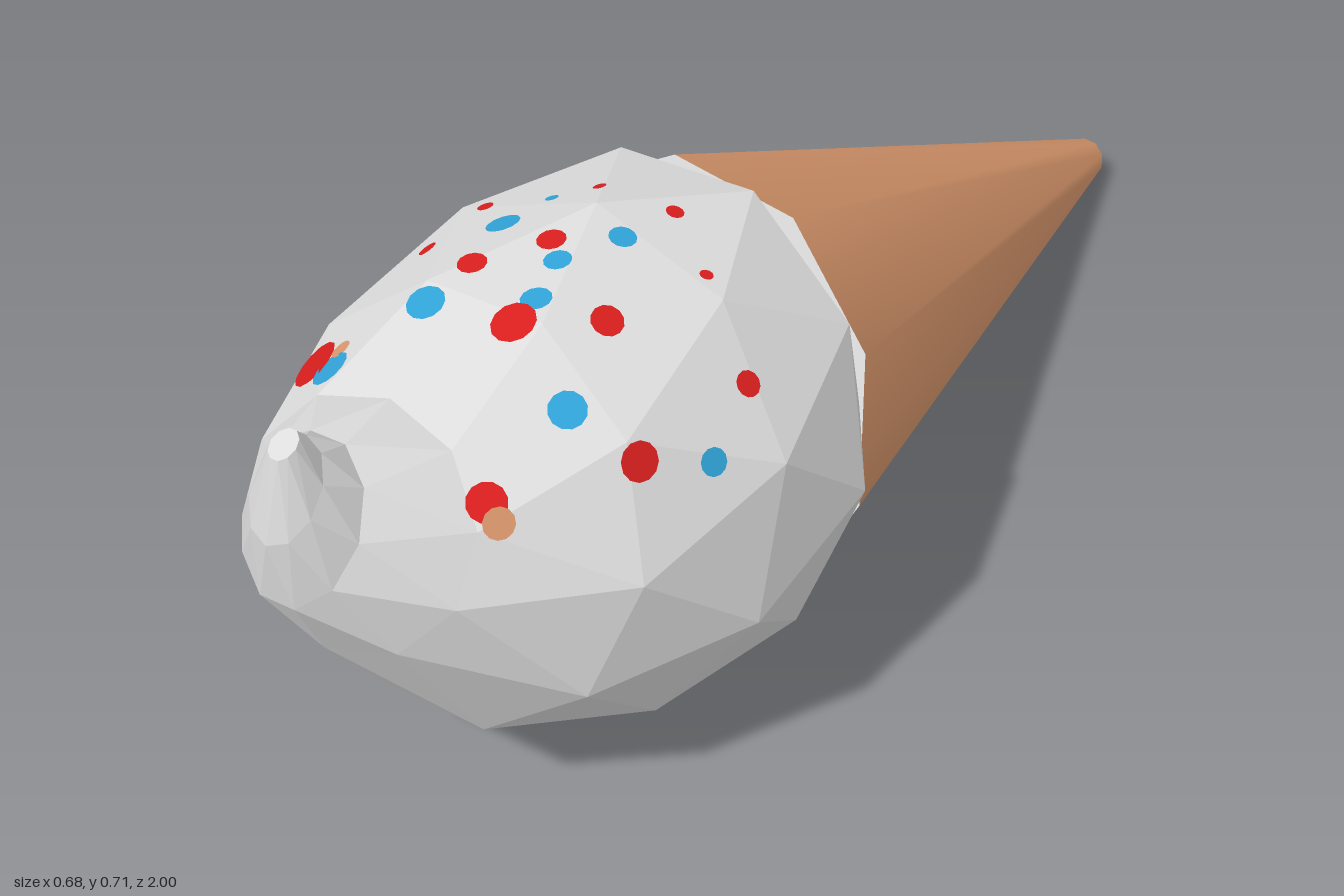
import * as THREE from 'three';

const SIDES = 10;
const RAD = Math.PI / 180;

const material = (name, color) => {
  const m = new THREE.MeshStandardMaterial({ color });
  m.name = name;
  return m;
};

// Tilted elliptical ring: top and bottom as [z, y], half width, x centre, phase from the top in degrees
function ring([top, bottom, width, cx], phase) {
  const cz = (top[0] + bottom[0]) / 2, cy = (top[1] + bottom[1]) / 2;
  return Array.from({ length: SIDES }, (_, j) => {
    const a = (phase + (360 / SIDES) * j) * RAD;
    return new THREE.Vector3(
      cx + Math.sin(a) * width,
      cy + Math.cos(a) * (top[1] - cy) * 1.02,
      cz + Math.cos(a) * (top[0] - cz) * 1.02
    );
  });
}

// Skin between rings that run from back to front
function loft(rings, flat) {
  const index = [];
  for (let i = 0; i < rings.length - 1; i++) {
    for (let j = 0; j < SIDES; j++) {
      const k = (j + 1) % SIDES;
      const a = i * SIDES + j, b = i * SIDES + k;
      const c = a + SIDES, d = b + SIDES;
      index.push(a, c, b, b, c, d);
    }
  }
  let g = new THREE.BufferGeometry().setFromPoints(rings.flat());
  g.setIndex(index);
  if (flat) g = g.toNonIndexed();
  g.computeVertexNormals();
  return g;
}

// Flat lid on a ring
function lid(points, facesFront) {
  const index = [];
  for (let j = 1; j < SIDES - 1; j++) {
    index.push(0, ...(facesFront ? [j + 1, j] : [j, j + 1]));
  }
  const g = new THREE.BufferGeometry().setFromPoints(points);
  g.setIndex(index);
  g.computeVertexNormals();
  return g;
}

export function createModel() {
  const model = new THREE.Group();
  model.name = 'iceCreamCone';
  const cream = material('cream', 0xdcdcdc);
  const wafer = material('wafer', 0xd9976c);
  const red = material('red', 0xd81e1e);
  const blue = material('blue', 0x30a2d6);

  const add = (name, geometry, mat, parent = model) => {
    const mesh = new THREE.Mesh(geometry, mat);
    mesh.name = name;
    parent.add(mesh);
    return mesh;
  };

  // Wafer cone lying on its side, with a blunt tip
  const tip = ring([[-1, 0.069], [-0.98, 0.002], 0.035, -0.065], 25);
  const rim = ring([[0.17, 0.635], [0.385, 0.03], 0.318, -0.01], 25);
  add('cone', loft([tip, rim], false), wafer);
  add('coneTip', lid(tip, false), wafer);
  add('coneFilling', lid(rim, true), cream);

  // Faceted scoop that narrows into an upturned curl
  const sections = [
    [[0.18, 0.6], [0.375, 0.045], 0.3, -0.01],
    [[0.22, 0.672], [0.45, 0.03], 0.34, 0],
    [[0.41, 0.702], [0.635, 0.075], 0.345, 0],
    [[0.615, 0.685], [0.8, 0.17], 0.285, -0.01],
    [[0.77, 0.615], [0.93, 0.36], 0.175, -0.035],
    [[0.87, 0.628], [0.988, 0.46], 0.085, -0.04],
    [[0.915, 0.66], [0.998, 0.56], 0.048, -0.03],
    [[0.942, 0.692], [0.978, 0.672], 0.018, -0.02],
  ].map((s, i) => ring(s, -2 + 18 * i));
  const scoop = add('scoop', loft(sections, true), cream);
  add('curlTip', lid(sections[sections.length - 1], true), cream);

  // Thin round sprinkles dropped onto the scoop
  const sprinkles = new THREE.Group();
  sprinkles.name = 'sprinkles';
  model.add(sprinkles);
  const caster = new THREE.Raycaster();
  const forward = new THREE.Vector3(0, 0, 1);
  const sprinkle = (name, mat, origin, direction, radius) => {
    caster.set(origin, direction);
    const hit = caster.intersectObject(scoop)[0];
    if (!hit) return;
    const disc = add(name, new THREE.CircleGeometry(radius, 12), mat, sprinkles);
    disc.position.copy(hit.point).addScaledVector(hit.face.normal, 0.004);
    disc.quaternion.setFromUnitVectors(forward, hit.face.normal);
  };

  // Each spot: x, z, radius
  const spots = [
    ['redSprinkle', red, [
      [0.06, 0.345, 0.012], [-0.04, 0.365, 0.009], [0.155, 0.41, 0.009], [-0.17, 0.435, 0.011],
      [-0.015, 0.493, 0.019], [0.255, 0.467, 0.017], [-0.18, 0.535, 0.013], [-0.245, 0.567, 0.018],
      [-0.075, 0.572, 0.019], [0.117, 0.557, 0.021], [0.037, 0.63, 0.029], [0.228, 0.647, 0.025],
      [-0.196, 0.73, 0.035], [0.122, 0.795, 0.025],
    ]],
    ['blueSprinkle', blue, [
      [-0.085, 0.405, 0.009], [0.048, 0.435, 0.018], [-0.22, 0.467, 0.014], [-0.105, 0.477, 0.023],
      [0.016, 0.52, 0.018], [0.037, 0.588, 0.02], [-0.24, 0.61, 0.016], [-0.085, 0.647, 0.025],
      [0.143, 0.668, 0.024], [-0.154, 0.747, 0.027], [0.275, 0.566, 0.018],
    ]],
    ['tanSprinkle', wafer, [[0.142, 0.8, 0.02], [-0.165, 0.715, 0.014]]],
  ];
  const down = new THREE.Vector3(0, -1, 0);
  for (const [name, mat, list] of spots) {
    for (const [x, z, r] of list) sprinkle(name, mat, new THREE.Vector3(x, 2, z), down, r);
  }

  // Two more on the right flank
  const back = new THREE.Vector3(0, 0, -1);
  sprinkle('blueSprinkle', blue, new THREE.Vector3(-0.28, 0.455, 2), back, 0.018);
  sprinkle('redSprinkle', red, new THREE.Vector3(-0.285, 0.37, 2), back, 0.014);

  return model;
}
